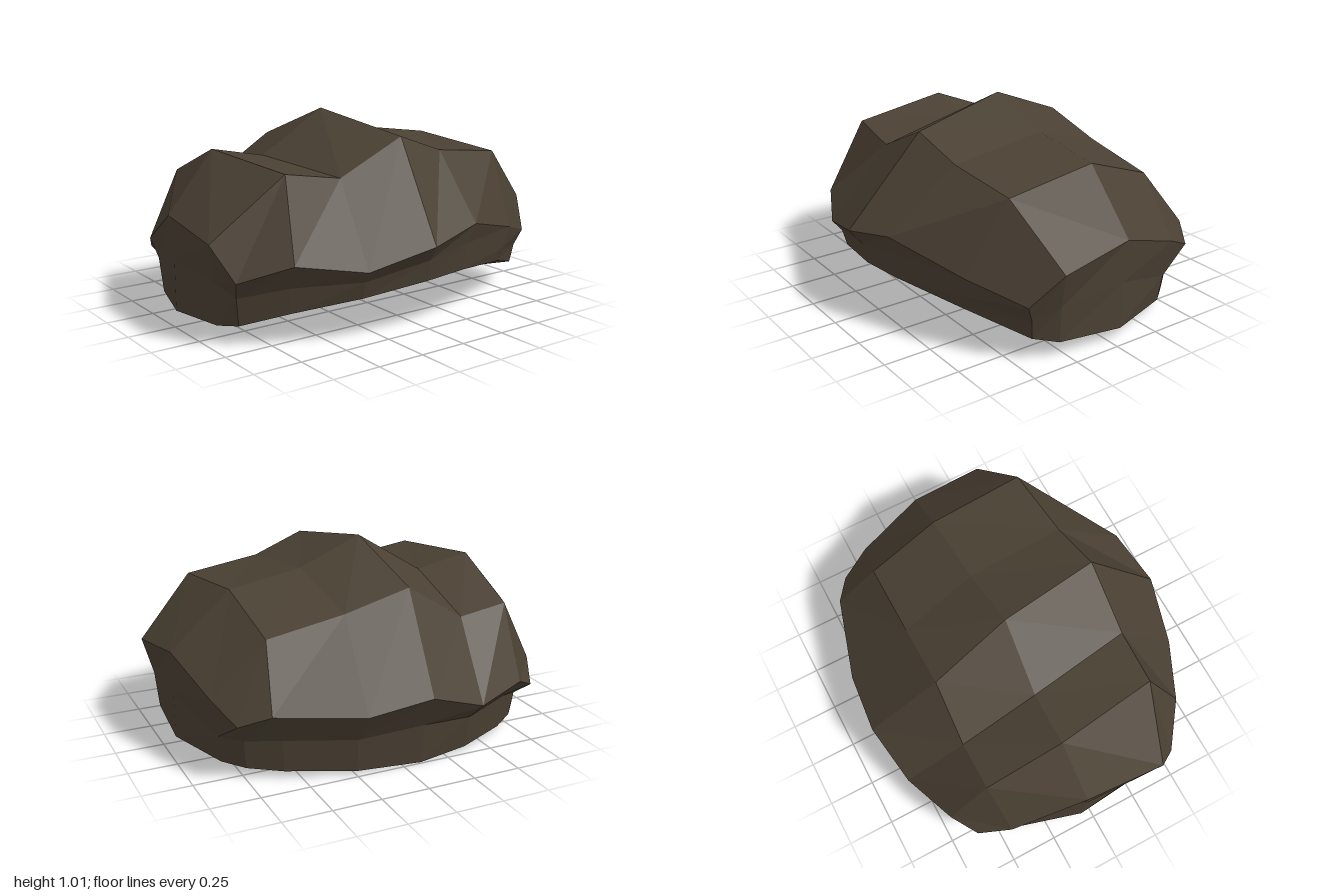
import * as THREE from 'three';

// Rock crown: rows run front to back, columns from -x to +x; the border is the overhanging rim
const CROWN = [
  [[-0.93, 0.33, 0.49], [-0.71, 0.41, 0.64], [-0.40, 0.365, 0.79], [-0.06, 0.45, 0.865], [0.24, 0.51, 0.81], [0.64, 0.40, 0.64], [0.91, 0.31, 0.47]],
  [[-1.00, 0.50, 0.37], [-0.64, 0.80, 0.46], [-0.34, 0.75, 0.48], [0.02, 0.92, 0.49], [0.30, 0.82, 0.46], [0.70, 0.77, 0.43], [1.00, 0.47, 0.33]],
  [[-0.98, 0.55, -0.07], [-0.72, 0.85, -0.09], [-0.43, 0.79, -0.08], [-0.08, 1.01, -0.06], [0.26, 0.875, -0.08], [0.65, 0.815, -0.10], [0.96, 0.525, -0.08]],
  [[-0.90, 0.34, -0.46], [-0.71, 0.68, -0.50], [-0.45, 0.64, -0.50], [-0.15, 0.83, -0.49], [0.20, 0.74, -0.49], [0.61, 0.67, -0.49], [0.88, 0.395, -0.45]],
  [[-0.82, 0.25, -0.62], [-0.69, 0.32, -0.71], [-0.40, 0.28, -0.82], [-0.09, 0.39, -0.87], [0.24, 0.34, -0.84], [0.67, 0.37, -0.71], [0.81, 0.31, -0.62]],
];

// Foot outline, matching the rim point for point: front, +x side, back, -x side
const FOOT = [
  [-0.88, 0.10, 0.42], [-0.68, 0.16, 0.56], [-0.38, 0.22, 0.72], [-0.04, 0.26, 0.78], [0.21, 0.27, 0.76], [0.58, 0.22, 0.62], [0.87, 0.12, 0.42],
  [0.93, 0.09, 0.30], [0.95, 0.06, -0.06], [0.83, 0.055, -0.42],
  [0.74, 0.05, -0.53], [0.58, 0.04, -0.62], [0.24, 0.015, -0.72], [-0.10, 0, -0.74], [-0.37, 0.02, -0.71], [-0.63, 0.04, -0.61], [-0.76, 0.05, -0.52],
  [-0.86, 0.055, -0.40], [-0.96, 0.06, -0.06], [-0.93, 0.08, 0.30],
];

// How far the undercut drops below each rim point
const DIP = [0.09, 0.12, 0.06, 0.08, 0.10, 0.11, 0.09, 0.19, 0.22, 0.20,
  0.11, 0.16, 0.15, 0.18, 0.09, 0.10, 0.07, 0.10, 0.22, 0.20];

const material = new THREE.MeshStandardMaterial({ color: 0x4a4033, flatShading: true });

function facetMesh(name, triangles) {
  const geometry = new THREE.BufferGeometry();
  geometry.setAttribute('position', new THREE.Float32BufferAttribute(triangles.flat(), 3));
  geometry.computeVertexNormals();
  const mesh = new THREE.Mesh(geometry, material);
  mesh.name = name;
  return mesh;
}

const quad = (a, b, c, d) => [a, b, c, a, c, d];

// Closed wall between two matching rings
function band(lower, upper) {
  return lower.flatMap((p, i) => {
    const j = (i + 1) % lower.length;
    return quad(p, lower[j], upper[j], upper[i]);
  });
}

export function createModel() {
  const group = new THREE.Group();
  group.name = 'rock';

  // Crown facets
  const top = [];
  for (let r = 0; r < 4; r++) {
    for (let c = 0; c < 6; c++) {
      top.push(...quad(CROWN[r][c], CROWN[r][c + 1], CROWN[r + 1][c + 1], CROWN[r + 1][c]));
    }
  }
  group.add(facetMesh('crown', top));

  // Rim read around the crown's border, and the recessed ring below it
  const rim = [
    ...CROWN[0],
    ...[1, 2, 3].map((r) => CROWN[r][6]),
    ...[...CROWN[4]].reverse(),
    ...[3, 2, 1].map((r) => CROWN[r][0]),
  ];
  const inset = FOOT.map(([x, , z], i) => [
    THREE.MathUtils.clamp(x * 1.02, -0.96, 0.95), rim[i][1] - DIP[i], z * 1.03,
  ]);
  group.add(facetMesh('undercut', band(inset, rim)));
  group.add(facetMesh('foot', band(FOOT, inset)));

  // Underside
  const centre = [0, 0.06, 0];
  group.add(facetMesh('underside', FOOT.flatMap((p, i) => [centre, FOOT[(i + 1) % FOOT.length], p])));
  return group;
}
